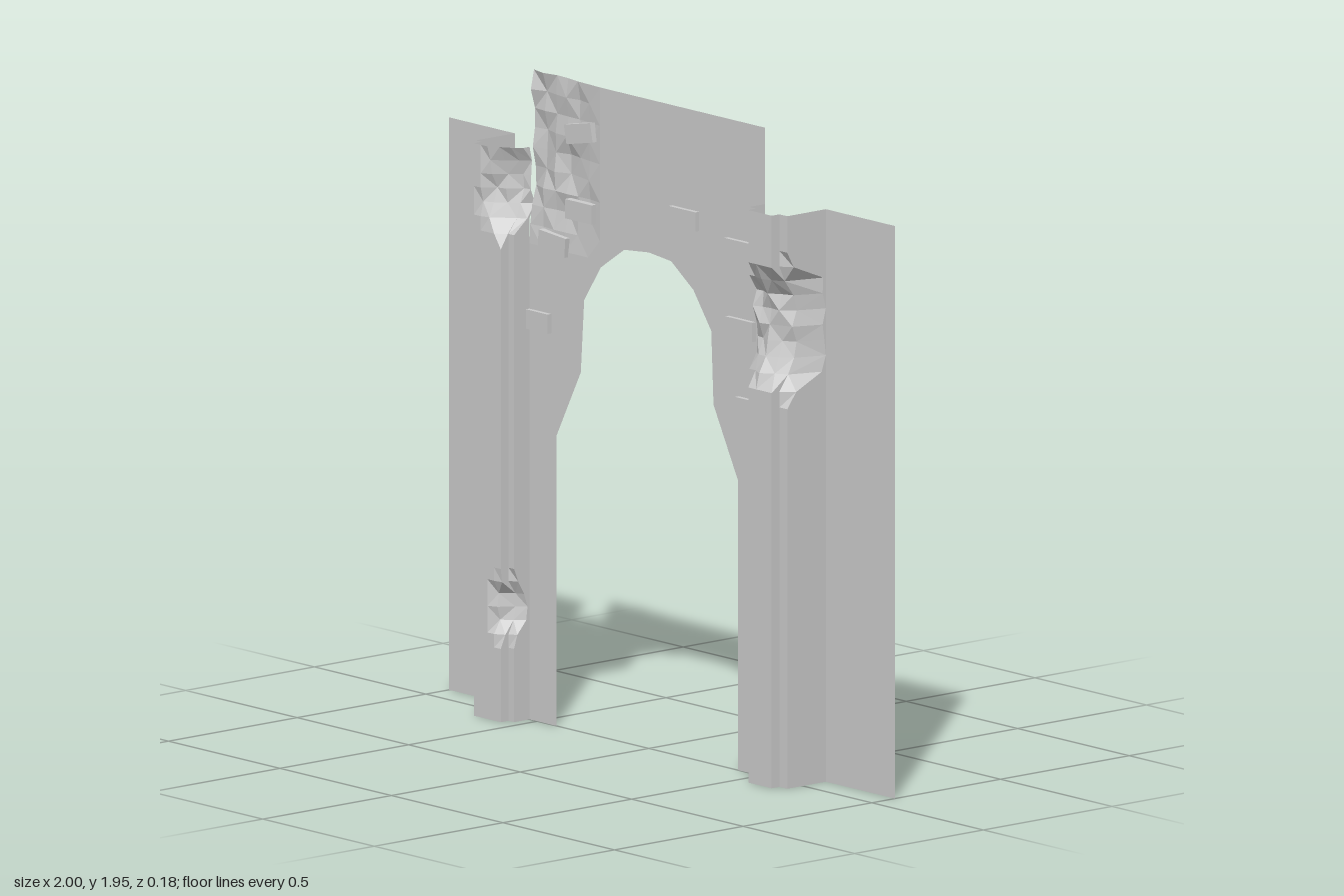
import * as THREE from 'three';

const mat = new THREE.MeshStandardMaterial({ color: 0xcccccc, flatShading: true, side: THREE.DoubleSide });
const { clamp } = THREE.MathUtils;

// Repeatable roughness in -1..1 that depends only on position
const rough = (x, y) => {
  const s = Math.sin(x * 127.1 + y * 311.7) * 43758.5453;
  return (s - Math.floor(s)) * 2 - 1;
};
const range = (a, b, n) => Array.from({ length: n + 1 }, (_, i) => a + ((b - a) * i) / n);

function add(group, name, geometry) {
  const mesh = new THREE.Mesh(geometry, mat);
  mesh.name = name;
  group.add(mesh);
  return mesh;
}

// Open sheet: a plan line of [x, z] points raised through the heights ys, moved by rule z = f(x, y, z)
function sheet(plan, ys, f) {
  const pos = [], index = [], n = plan.length;
  for (const y of ys) for (const [x, z] of plan) pos.push(x, y, f(x, y, z));
  for (let j = 0; j < ys.length - 1; j++) {
    for (let i = 0; i < n - 1; i++) {
      const a = j * n + i, b = a + 1, c = a + n, d = c + 1;
      if ((i + j) % 2) index.push(a, b, d, a, d, c);
      else index.push(a, b, c, b, d, c);
    }
  }
  const g = new THREE.BufferGeometry();
  g.setAttribute('position', new THREE.Float32BufferAttribute(pos, 3));
  g.setIndex(index);
  const flat = g.toNonIndexed();
  flat.computeVertexNormals();
  return flat;
}

// Adds points between the corners of a plan line so that damage has vertices to move
function subdivide(corners, step) {
  const out = [corners[0]];
  for (let i = 1; i < corners.length; i++) {
    const [x0, z0] = corners[i - 1], [x1, z1] = corners[i];
    const n = Math.max(1, Math.round(Math.hypot(x1 - x0, z1 - z0) / step));
    for (let k = 1; k <= n; k++) out.push([x0 + ((x1 - x0) * k) / n, z0 + ((z1 - z0) * k) / n]);
  }
  return out;
}

const TOP = 1.72, CROWN = 1.95, LEFT = 0.52, RIGHT = -0.535;
const DENT_X = -0.22, DENT_Y = 1.43;

// Shallow dent in the upper corner of the arch wall
function dent(x, y) {
  const w = clamp((DENT_X - x) / 0.15, 0, 1) * clamp((y - DENT_Y) / 0.15, 0, 1);
  return w * (-0.016 + 0.012 * rough(x, y));
}

// Broken areas: each gives the greatest z that is left at x, y
function leftBreak(x, y) {
  const base = x < 0.6 ? 0.04 : x < 0.665 ? 0.04 - (x - 0.6) * 0.6 : 0.0 - (x - 0.665) * 3.6;
  const rise = Math.max(0, Math.abs(y - 1.375) - 0.13) * 2.2;
  return Math.max(-0.09, base + rise + 0.014 * rough(x, y));
}
function upperRightBreak(x, y) {
  const edge = -0.65 + Math.max(0, y - 1.64) * 0.6;
  const slope = 0.09 - (x - edge) * 0.95 + 0.012 * rough(x, y);
  return Math.max(slope, dent(x, y)) + Math.max(0, 1.52 - y) * 1.2;
}
function lowerRightBreak(x, y) {
  const slope = 0.09 - (x + 0.605) * 1.1 + 0.01 * rough(x, y);
  return Math.max(0.005, slope) + Math.max(0, Math.abs(y - 0.34) - 0.05) * 1.3;
}

export function createModel() {
  const model = new THREE.Group();
  model.name = 'ruinedArch';

  // Arch wall, without the dented corner
  const wall = new THREE.Shape([
    [RIGHT, 0], [-0.415, 0], [-0.415, 0.87], [-0.305, 1.08], [-0.29, 1.3], [-0.215, 1.41],
    [-0.11, 1.48], [0, 1.49], [0.1, 1.48], [0.2, 1.41], [0.28, 1.3], [0.29, 1.08], [0.4, 0.87],
    [0.4, 0], [LEFT, 0], [LEFT, CROWN], [DENT_X, CROWN], [DENT_X, DENT_Y], [RIGHT, DENT_Y],
  ].map(([x, y]) => new THREE.Vector2(x, y)));
  add(model, 'archWall', new THREE.ShapeGeometry(wall));

  // Dented corner of the arch wall
  const cornerPlan = range(RIGHT, DENT_X, 6).map((x) => [x, 0]);
  add(model, 'dentedWallCorner', sheet(cornerPlan, range(DENT_Y, CROWN, 9), dent));

  // Hollow stepped pilasters with their broken areas
  const leftPlan = subdivide([
    [LEFT, 0], [LEFT, 0.06], [0.55, 0.06], [0.55, 0.09], [0.655, 0.09], [0.655, 0.06], [0.69, 0.06], [0.69, -0.09],
  ], 0.04);
  add(model, 'leftPilaster', sheet(leftPlan, [0, ...range(1.14, 1.61, 10), TOP],
    (x, y, z) => (y > 1.15 && y < 1.6 ? Math.min(z, leftBreak(x, y)) : z)));

  const rightPlan = subdivide([
    [-0.705, -0.09], [-0.705, 0.06], [-0.68, 0.06], [-0.68, 0.09], [-0.56, 0.09], [-0.56, 0.06], [RIGHT, 0.06], [RIGHT, 0],
  ], 0.03);
  add(model, 'rightPilaster', sheet(rightPlan, [0, ...range(0.22, 0.46, 6), ...range(1.42, TOP, 7)],
    (x, y, z) => {
      if (x < -0.67) return z;
      if (y > 1.43) return Math.min(z, upperRightBreak(x, y));
      return y > 0.23 && y < 0.45 ? Math.min(z, lowerRightBreak(x, y)) : z;
    }));

  // Set-back side walls
  for (const [name, x0, x1] of [['leftSideWall', 0.69, 1], ['rightSideWall', -1, -0.705]]) {
    const g = new THREE.PlaneGeometry(x1 - x0, TOP);
    add(model, name, g.translate((x0 + x1) / 2, TOP / 2, -0.09));
  }

  // Bricks that stand out on both faces of the arch wall: x, y, tilt
  const bricks = [
    [-0.3, 1.8, 0.2], [-0.3, 1.565, 0], [-0.42, 1.45, -0.08], [-0.497, 1.205, 0],
    [0.165, 1.62, 0], [0.415, 1.565, 0], [0.42, 1.33, 0], [0.463, 1.095, 0],
  ];
  for (const [x, y, tilt] of bricks) {
    const brick = add(model, 'brick', new THREE.BoxGeometry(0.12, 0.058, 0.035));
    brick.position.set(x, y, -0.003);
    brick.rotation.z = tilt;
  }
  return model;
}
